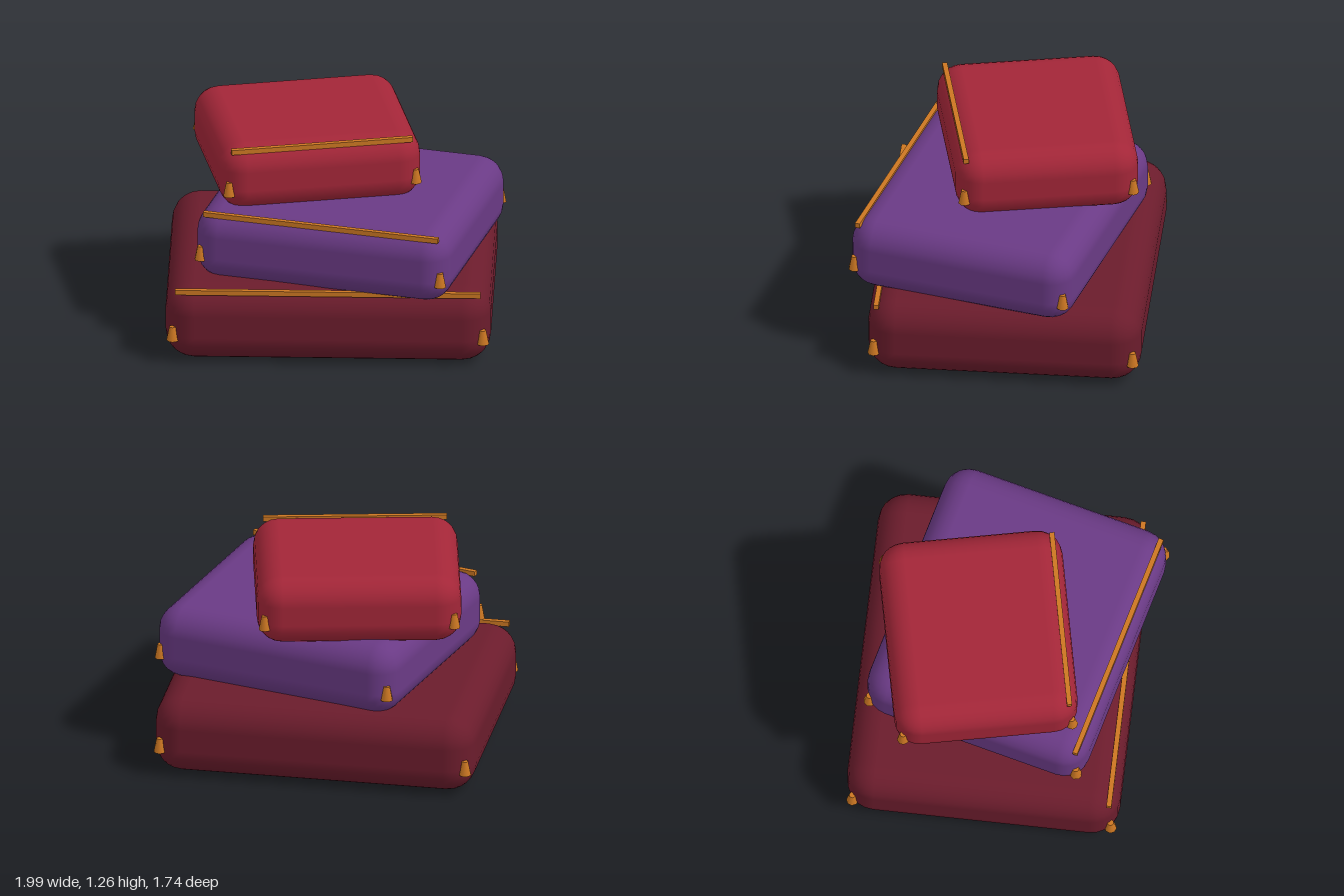
import * as THREE from 'three';
import { RoundedBoxGeometry } from 'three/addons/geometries/RoundedBoxGeometry.js';

const trimMaterial = new THREE.MeshStandardMaterial({ color: 0xcc7722 });

function addMesh(parent, name, geometry, material, x, y, z) {
  const mesh = new THREE.Mesh(geometry, material);
  mesh.name = name;
  mesh.position.set(x, y, z);
  parent.add(mesh);
  return mesh;
}

// One cushion: soft body, a tassel on each corner, a trim bar along the top front edge
function createCushion({ name, color, size: [w, h, d], radius, position, turn }) {
  const cushion = new THREE.Group();
  cushion.name = name;
  cushion.position.set(...position);
  cushion.rotation.y = turn;

  const fabric = new THREE.MeshStandardMaterial({ color });
  addMesh(cushion, 'cushionBody', new RoundedBoxGeometry(w, h, d, 3, radius), fabric, 0, 0, 0);

  const tasselGeometry = new THREE.CylinderGeometry(0.019, 0.036, 0.086, 8);
  for (const sx of [-1, 1]) {
    for (const sz of [-1, 1]) {
      const tasselName = (sz > 0 ? 'front' : 'back') + (sx > 0 ? 'Left' : 'Right') + 'Tassel';
      addMesh(cushion, tasselName, tasselGeometry, trimMaterial,
        sx * (w / 2 - 0.045), -0.05, sz * (d / 2 - 0.043));
    }
  }

  addMesh(cushion, 'trimBar', new THREE.BoxGeometry(w - 0.12, 0.03, 0.03), trimMaterial,
    0, h / 2 - 0.027, d / 2 - 0.055);
  return cushion;
}

export function createModel() {
  const model = new THREE.Group();
  model.name = 'cushionStack';
  const cushions = [
    { name: 'bottomCushion', color: 0x6b1c2c, size: [1.91, 0.475, 1.61], radius: 0.17,
      position: [0, 0.241, -0.005], turn: 0.07 },
    { name: 'middleCushion', color: 0x6a3a85, size: [1.55, 0.445, 1.38], radius: 0.155,
      position: [0.12, 0.662, 0.078], turn: -0.178 },
    { name: 'topCushion', color: 0xa32638, size: [1.2, 0.415, 1.08], radius: 0.15,
      position: [-0.153, 1.052, -0.1], turn: 0.28 },
  ];
  for (const c of cushions) model.add(createCushion(c));
  return model;
}
